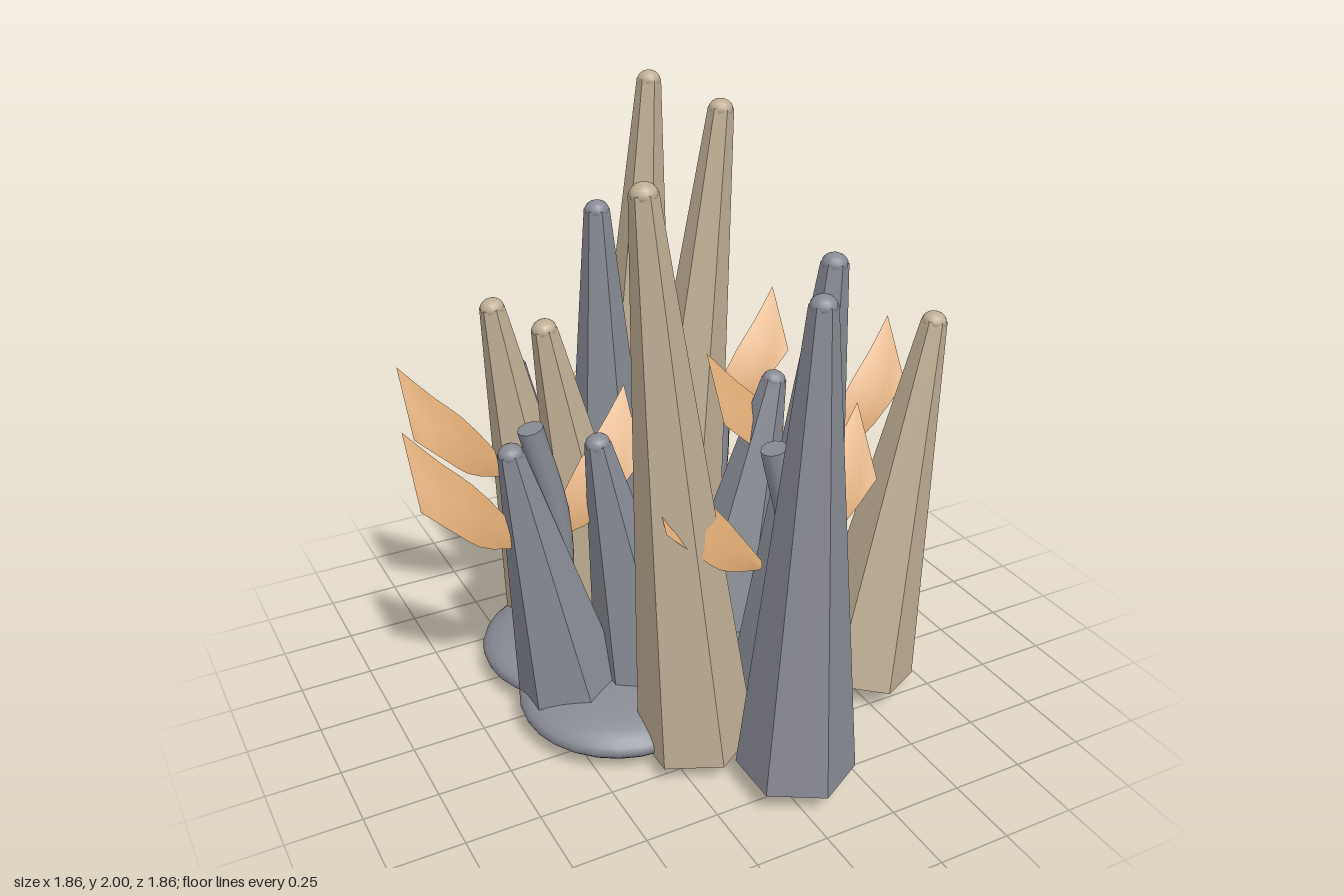
import * as THREE from 'three';
import { toCreasedNormals } from 'three/addons/utils/BufferGeometryUtils.js';

const sand = new THREE.MeshStandardMaterial({ color: 0xbfae94 });
sand.name = 'sand';
const slate = new THREE.MeshStandardMaterial({ color: 0x888a94 });
slate.name = 'slate';
const amber = new THREE.MeshStandardMaterial({ color: 0xd8a570, side: THREE.DoubleSide });
amber.name = 'amber';

function addMesh(parent, name, geometry, material) {
  const mesh = new THREE.Mesh(geometry, material);
  mesh.name = name;
  parent.add(mesh);
  return mesh;
}

// Six-sided tapering spike with a rounded tip, leaning sideways from its base
function spike(material, baseX, tipX, z, top) {
  const baseY = 0.085;
  const group = new THREE.Group();
  group.name = 'spike';
  const length = Math.hypot(tipX - baseX, top - baseY);
  const shaft = length - 0.03;
  const body = new THREE.CylinderGeometry(0.043, 0.193, shaft, 6).translate(0, shaft / 2, 0);
  addMesh(group, 'spikeShaft', toCreasedNormals(body, 0.5), material);
  const tip = addMesh(group, 'spikeTip', new THREE.SphereGeometry(0.041, 14, 10), material);
  tip.scale.y = 0.8;
  tip.position.y = length - 0.033;
  group.position.set(baseX, baseY, z);
  group.rotation.z = -Math.atan2(tipX - baseX, top - baseY);
  return group;
}

// Cupped leaf: rows run from the stalk outwards, each with upper, middle and lower points
function leafGeometry() {
  const upper = [[0.03, 0.75, 0], [0.17, 0.95, -0.04], [0.28, 1.06, -0.075], [0.375, 1.165, -0.11]];
  const middle = [[0.035, 0.735, 0.01], [0.18, 0.87, 0.02], [0.28, 0.96, 0], [0.375, 1.05, -0.04]];
  const lower = [[0.04, 0.72, 0], [0.19, 0.78, 0.035], [0.28, 0.86, 0.035], [0.375, 0.95, 0.02]];
  const edges = [upper, middle, lower].map(
    (points) => new THREE.CatmullRomCurve3(points.map((p) => new THREE.Vector3(...p)))
  );
  const steps = 8;
  const positions = [];
  const index = [];
  for (let i = 0; i <= steps; i++) {
    for (const edge of edges) positions.push(...edge.getPoint(i / steps).toArray());
    if (i === steps) break;
    for (let j = 0; j < 2; j++) {
      const a = i * 3 + j;
      index.push(a, a + 1, a + 3, a + 1, a + 4, a + 3);
    }
  }
  const geometry = new THREE.BufferGeometry();
  geometry.setAttribute('position', new THREE.Float32BufferAttribute(positions, 3));
  geometry.setIndex(index);
  geometry.computeVertexNormals();
  return geometry;
}

// Bowed stalk carrying a mirrored pair of leaves
function sprout(x, z, leaf) {
  const group = new THREE.Group();
  group.name = 'sprout';
  const path = new THREE.CatmullRomCurve3([
    new THREE.Vector3(0, 0.12, 0),
    new THREE.Vector3(0.07, 0.42, 0),
    new THREE.Vector3(0.08, 0.78, 0),
    new THREE.Vector3(0, 1.14, 0),
  ]);
  addMesh(group, 'stalk', new THREE.TubeGeometry(path, 20, 0.042, 10), slate);
  const cap = addMesh(group, 'stalkEnd', new THREE.CircleGeometry(0.042, 10), slate);
  cap.position.copy(path.getPoint(1));
  cap.lookAt(path.getPoint(1).add(path.getTangent(1)));
  for (const side of [1, -1]) {
    const blade = addMesh(group, side > 0 ? 'leftLeaf' : 'rightLeaf', leaf, amber);
    blade.scale.x = side;
  }
  group.position.set(x, 0, z);
  return group;
}

export function createModel() {
  const model = new THREE.Group();
  model.name = 'spikeCluster';

  // Flattened pads forming the ground
  const pads = [[-0.3, -0.21], [-0.3, 0.14], [0.355, 0.03], [0.16, -0.29], [0.12, 0.27]];
  for (const [x, z] of pads) {
    const pad = addMesh(model, 'basePad', new THREE.SphereGeometry(1, 28, 16), slate);
    pad.scale.set(0.345, 0.097, 0.345);
    pad.position.set(x, 0.098, z);
  }

  // Spikes: base x, tip x, z, height
  const sandSpikes = [
    [0.16, 0.275, -0.74, 2],
    [0.09, 0.3, -0.26, 2],
    [-0.17, -0.345, 0.455, 2],
    [0.525, 0.74, 0.385, 1.4],
    [-0.3, -0.495, -0.385, 1.4],
    [-0.19, -0.415, -0.135, 1.4],
  ];
  const slateSpikes = [
    [0.045, 0.07, 0.735, 1.7],
    [-0.095, -0.13, -0.325, 1.7],
    [0.155, 0.285, 0.465, 1.7],
    [0.6, 0.8, -0.275, 1.1],
    [0.18, 0.395, -0.025, 1.1],
    [-0.44, -0.63, 0.075, 1.1],
    [-0.18, -0.36, 0.135, 1.1],
  ];
  for (const s of sandSpikes) model.add(spike(sand, ...s));
  for (const s of slateSpikes) model.add(spike(slate, ...s));

  // Leafy stalks between the spikes
  const leaf = leafGeometry();
  const sprouts = [[-0.42, -0.4], [0.335, -0.465], [0.555, -0.02], [-0.555, 0.075], [0.045, 0.54]];
  for (const [x, z] of sprouts) model.add(sprout(x, z, leaf));

  return model;
}
